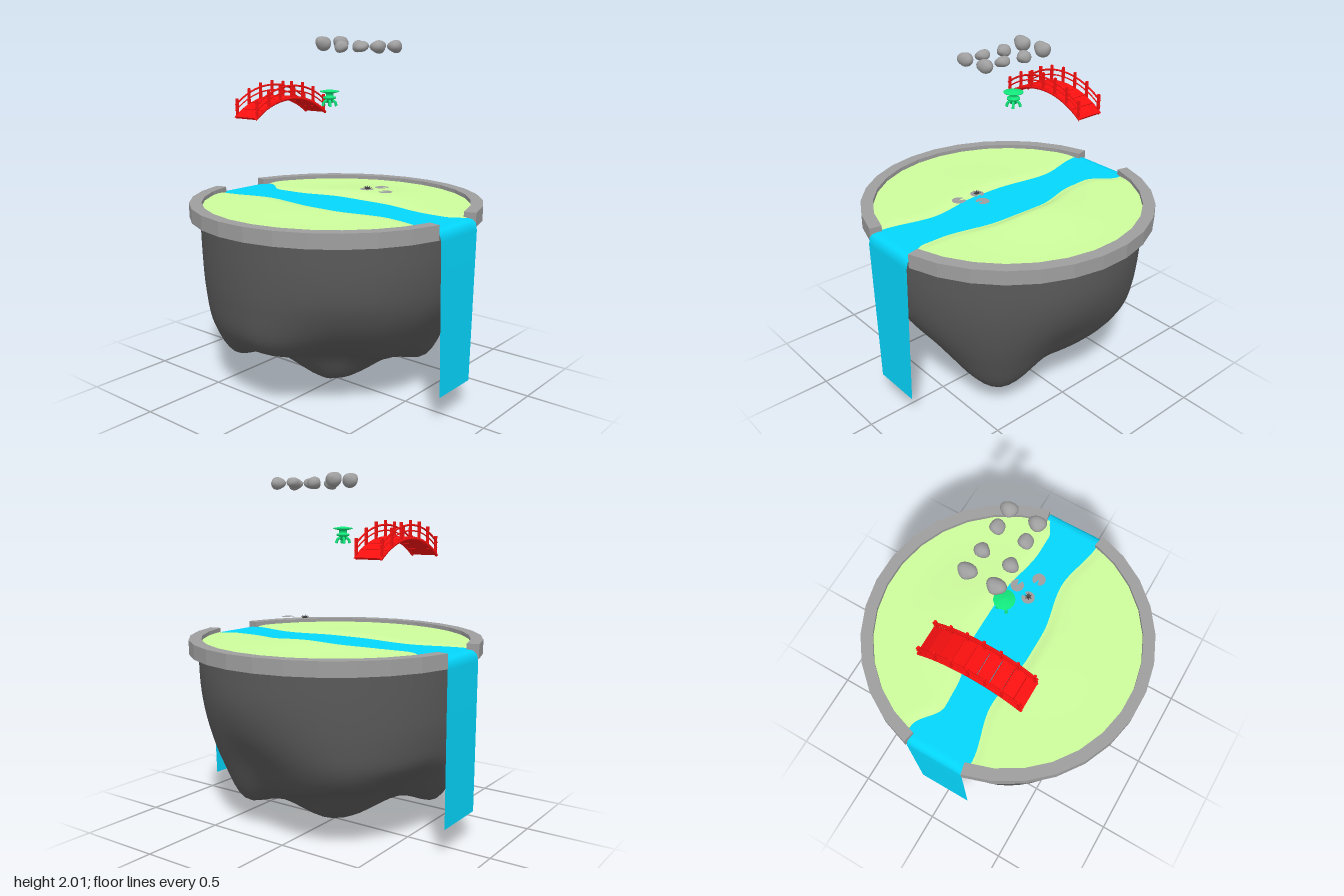
import * as THREE from 'three';
import { mergeVertices } from 'three/addons/utils/BufferGeometryUtils.js';

const { sin, cos, PI, sqrt, abs, exp } = Math;
const smooth = (a, b, x) => THREE.MathUtils.smoothstep(x, a, b);
const mat = (color, extra = {}) => new THREE.MeshStandardMaterial({ color, ...extra });

// Surface over u, v in 0..1 with smooth normals
function sheet(nu, nv, fn) {
  const pos = [], idx = [];
  for (let i = 0; i <= nv; i++)
    for (let j = 0; j <= nu; j++) pos.push(...fn(j / nu, i / nv));
  for (let i = 0; i < nv; i++)
    for (let j = 0; j < nu; j++) {
      const a = i * (nu + 1) + j, b = a + 1, c = a + nu + 1, d = c + 1;
      idx.push(a, b, c, b, d, c);
    }
  let g = new THREE.BufferGeometry();
  g.setAttribute('position', new THREE.Float32BufferAttribute(pos, 3));
  g.setIndex(idx);
  g = mergeVertices(g, 1e-5);
  g.computeVertexNormals();
  return g;
}

// Smooth stepwise interpolation of [x, value] pairs
function lookup(pts, x) {
  if (x <= pts[0][0]) return pts[0][1];
  for (let i = 1; i < pts.length; i++)
    if (x <= pts[i][0]) {
      const [x0, v0] = pts[i - 1], [x1, v1] = pts[i];
      return v0 + (v1 - v0) * smooth(x0, x1, x);
    }
  return pts[pts.length - 1][1];
}

// Rock underside: [radius, height] profiles by compass angle, blended around
const ROCK = [
  [0, [[0.765, 0.82], [0.72, 0.62], [0.63, 0.46], [0.47, 0.28], [0.28, 0.18], [0.13, 0.06]]],
  [50, [[0.765, 0.82], [0.73, 0.66], [0.62, 0.48], [0.44, 0.34], [0.26, 0.25], [0.12, 0.06]]],
  [90, [[0.765, 0.82], [0.745, 0.63], [0.70, 0.44], [0.61, 0.345], [0.34, 0.28], [0.13, 0.05]]],
  [152, [[0.77, 0.80], [0.76, 0.60], [0.72, 0.37], [0.585, 0.15], [0.40, 0.17], [0.14, 0.04]]],
  [192, [[0.765, 0.80], [0.745, 0.64], [0.69, 0.48], [0.53, 0.37], [0.32, 0.23], [0.13, 0.05]]],
  [228, [[0.765, 0.82], [0.745, 0.63], [0.71, 0.49], [0.62, 0.375], [0.40, 0.29], [0.14, 0.06]]],
  [280, [[0.765, 0.82], [0.71, 0.65], [0.60, 0.47], [0.47, 0.29], [0.30, 0.18], [0.13, 0.05]]],
  [317, [[0.765, 0.82], [0.73, 0.62], [0.65, 0.38], [0.52, 0.15], [0.33, 0.15], [0.14, 0.05]]],
];
function rockGeometry() {
  const curves = ROCK.map(([, p]) => new THREE.CatmullRomCurve3(
    [[0.775, 1.05], ...p, [0, 0]].map(([r, y]) => new THREE.Vector3(r, y, 0))));
  return sheet(72, 32, (u, v) => {
    const deg = (u % 1) * 360;
    let k = ROCK.length - 1;
    while (ROCK[k][0] > deg) k--;
    const next = (k + 1) % ROCK.length, end = next ? ROCK[next][0] : 360;
    const p = curves[k].getPoint(v).lerp(curves[next].getPoint(v), smooth(ROCK[k][0], end, deg));
    const a = deg * PI / 180;
    return [p.x * cos(a), p.y, p.x * sin(a)];
  });
}

// Stone rim: half ring of 13 straight segments
function rimGeometry() {
  const pts = [], n = 13, a0 = 0.215;
  for (let i = 0; i <= n; i++) pts.push([0.831, i]);
  for (let i = n; i >= 0; i--) pts.push([0.762, i]);
  const shape = new THREE.Shape(pts.map(([r, i]) => {
    const a = a0 + i * (PI - 2 * a0) / n;
    return new THREE.Vector2(r * cos(a), r * sin(a));
  }));
  return new THREE.ExtrudeGeometry(shape, { depth: 0.08, bevelEnabled: false }).rotateX(-PI / 2);
}

// Grass bank from the winding river edge out to the rim
const BACK = [[-0.72, 0.2], [-0.54, 0.095], [-0.42, 0.1], [-0.1, 0.168], [0.18, 0.165], [0.55, 0.105], [0.66, 0.105], [0.76, 0.15]];
const FRONT = [[-0.74, 0.19], [-0.4, 0.12], [-0.05, 0.16], [0.1, 0.16], [0.42, 0.11], [0.75, 0.17]];
function bankGeometry(side, edge, mound) {
  return sheet(48, 20, (u, v) => {
    const a = 0.23 + u * (PI - 0.46), x = -side * 0.775 * cos(a), out = 0.775 * sin(a);
    const inner = Math.min(lookup(edge, x), out), z = inner + (out - inner) * v * v;
    const d = z - inner;
    const y = 1.07 + 0.007 * smooth(0, 0.06, d)
      + mound * exp(-((x / 0.3) ** 2)) * smooth(0, 0.08, d) * (1 - smooth(0.1, 0.5, d));
    return [x, y, side * z];
  });
}

// River with a waterfall at each end, as one sheet; the left fall tapers
function waterGeometry() {
  const half = [[0, 1.068], [0.35, 1.068], [0.752, 1.068], [0.765, 1.068], [0.79, 1.063], [0.807, 1.047], [0.815, 1.01], [0.815, 0.6], [0.815, 0.168]];
  const path = [...half.slice(1).reverse().map(([x, y]) => [-x, y]), ...half];
  return sheet(path.length - 1, 6, (u, v) => {
    const [x, y] = path[Math.round(u * (path.length - 1))];
    const foot = x > 0 ? 0.145 : 0.167;
    const w = y < 1.05 ? foot + (0.175 - foot) * (y - 0.168) / 0.88 : abs(x) > 0.76 ? 0.173 : 0.2;
    return [x, y, (v * 2 - 1) * w];
  });
}

// Arched bridge running along z, with vertical posts and two rails a side
function makeBridge() {
  const g = new THREE.Group(), red = mat(0xfa1010), R = 0.485, half = 0.66, boards = 9;
  const add = (name, geo, x, y, z) => {
    const m = new THREE.Mesh(geo, red);
    m.name = name;
    m.position.set(x, y, z);
    g.add(m);
    return m;
  };
  const plank = new THREE.BoxGeometry(0.16, 0.012, 2 * R * half / boards - 0.003);
  for (let i = 0; i < boards; i++) {
    const a = ((i + 0.5) / boards * 2 - 1) * half;
    add('plank', plank, 0, R * cos(a), R * sin(a)).rotation.x = a;
  }
  const arc = r => new THREE.TorusGeometry(R, r, 6, 18, 2 * half)
    .rotateZ(PI / 2 - half).rotateY(PI / 2);
  for (const x of [-0.078, 0.078]) {
    add('stringer', arc(0.009), x, -0.004, 0);
    add('lowerRail', arc(0.004), x, 0.038, 0);
    add('upperRail', arc(0.0055), x, 0.068, 0);
    for (let i = -3; i <= 3; i++) {
      const z = i * 0.094;
      add('post', new THREE.BoxGeometry(0.013, 0.1, 0.013), x, sqrt(R * R - z * z) + 0.044, z);
    }
  }
  g.position.set(-0.385, 1.174, 0.04);
  g.name = 'bridge';
  return g;
}

// Small lantern with a broad cap on splayed feet
function makeLantern() {
  const g = new THREE.Group(), green = mat(0x12e87c, { side: THREE.DoubleSide });
  const profile = [[0, 1.72], [0.02, 1.717], [0.056, 1.711], [0.054, 1.706], [0.022, 1.698], [0.021, 1.682], [0.037, 1.678], [0.037, 1.669], [0.018, 1.662], [0.018, 1.645], [0, 1.645]];
  const body = new THREE.Mesh(new THREE.LatheGeometry(profile.map(p => new THREE.Vector2(...p)).reverse(), 12), green);
  body.name = 'lanternBody';
  g.add(body);
  for (let i = 0; i < 4; i++) {
    const a = PI / 4 + i * PI / 2;
    const at = (r, y) => new THREE.Vector3(r * cos(a), y, r * sin(a));
    const foot = new THREE.Mesh(new THREE.TubeGeometry(
      new THREE.CatmullRomCurve3([at(0.012, 1.658), at(0.03, 1.65), at(0.038, 1.627)]), 5, 0.008, 6), green);
    foot.name = 'lanternFoot';
    g.add(foot);
  }
  g.position.set(-0.052, -0.004, 0.003);
  g.name = 'lantern';
  return g;
}

// Rounded lumpy stone
function stoneGeometry(seed) {
  const ico = new THREE.IcosahedronGeometry(1, 3);
  ico.deleteAttribute('normal');
  ico.deleteAttribute('uv');
  const g = mergeVertices(ico), p = g.attributes.position, v = new THREE.Vector3();
  for (let i = 0; i < p.count; i++) {
    v.fromBufferAttribute(p, i);
    v.multiplyScalar(1 + 0.13 * sin(2.3 * v.x + seed) + 0.13 * sin(2.7 * v.z + 2 * seed) * cos(2 * v.y + seed));
    p.setXYZ(i, v.x, v.y, v.z);
  }
  g.computeVertexNormals();
  return g.center();
}

export function createModel() {
  const model = new THREE.Group();
  model.name = 'floatingGarden';
  const add = (name, geo, material, x = 0, y = 0, z = 0) => {
    const m = new THREE.Mesh(geo, material);
    m.name = name;
    m.position.set(x, y, z);
    model.add(m);
    return m;
  };
  const grass = mat(0xcdfc9c, { side: THREE.DoubleSide });
  const grey = mat(0x9e9e9e), pad = mat(0x9e9e9e, { side: THREE.DoubleSide });

  add('rock', rockGeometry(), mat(0x5a5a5a, { side: THREE.DoubleSide }));
  add('backRim', rimGeometry(), grey, -0.007, 1.02, -0.002);
  add('frontRim', rimGeometry(), grey, -0.007, 1.02, -0.002).rotation.y = PI;
  add('backBank', bankGeometry(-1, BACK, 0.024), grass);
  add('frontBank', bankGeometry(1, FRONT, 0.009), grass);
  add('water', waterGeometry(), mat(0x04d6fc, { side: THREE.DoubleSide }));
  model.add(makeBridge(), makeLantern());

  // Stones: two rows of four
  const row = [[-0.107, 1.965, 0.042], [0.027, 1.95, 0.036], [0.168, 1.953, 0.036], [0.274, 1.952, 0.039]];
  for (const z of [-0.005, -0.16])
    row.forEach(([x, y, s], i) => {
      const m = add('stone', stoneGeometry(i * 1.7 + 1), grey, x, y, z);
      m.scale.set(s, s * 0.88, s * 1.13);
    });

  // Lily pads with a wedge cut out, and a spiky flower
  for (const [x, z, turn] of [[0.25, -0.09, 0.25], [0.342, 0, 3.4], [0.215, 0, 1.6]])
    add('lilyPad', new THREE.CircleGeometry(0.038, 18, turn, 2 * PI - 0.6).rotateX(-PI / 2), pad, x, 1.182, z);
  const dark = mat(0x4a4a4a);
  for (let i = 0; i < 12; i++) {
    const petal = new THREE.ConeGeometry(0.006, 0.027, 4).translate(0, 0.013, 0)
      .rotateZ(i % 2 ? -1.25 : -0.8).rotateY(i * PI / 6);
    add('petal', petal, dark, 0.218, 1.182, 0);
  }
  return model;
}
